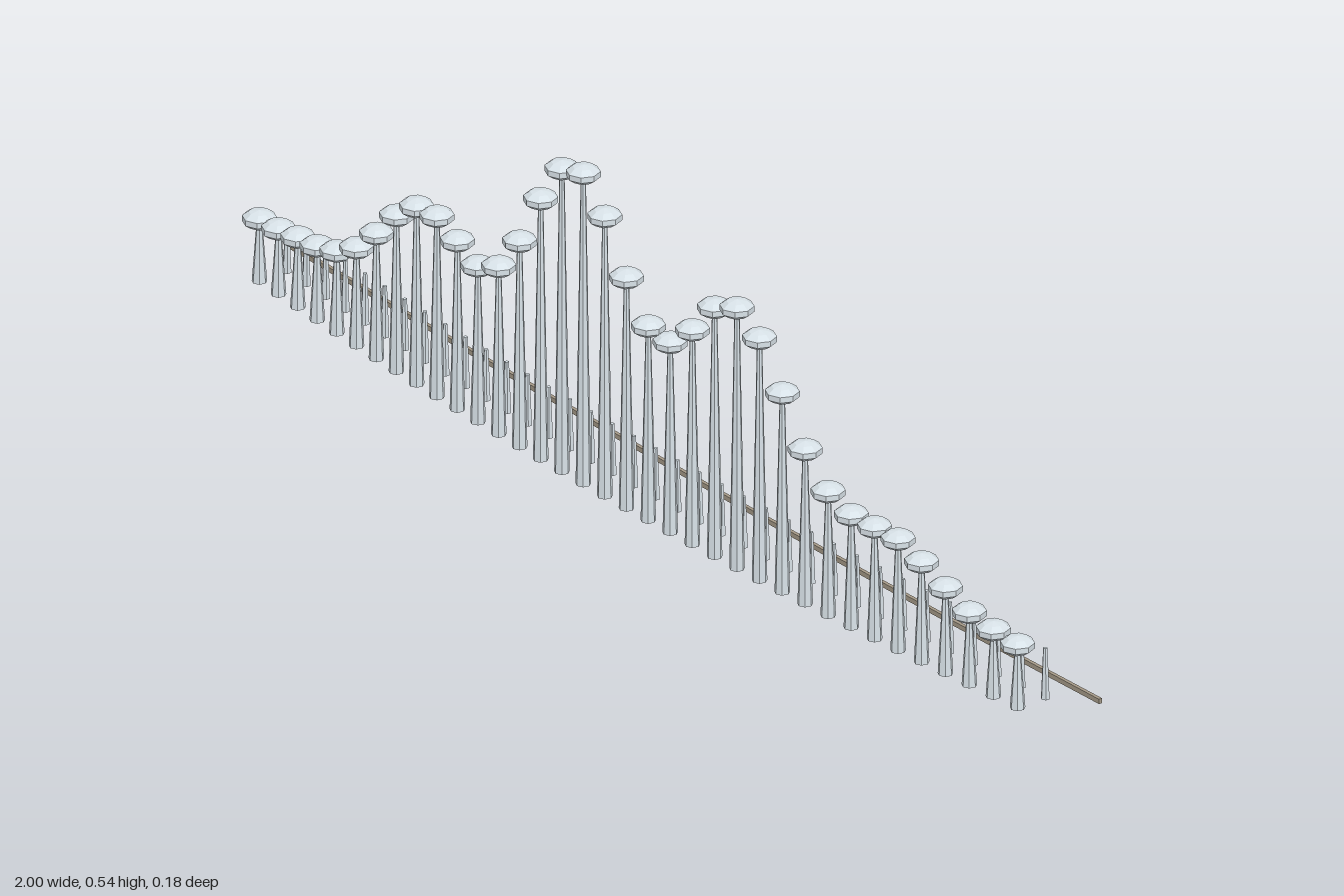
import * as THREE from 'three';

// Height of each tall jet, from the model's right (-x) to its left (+x)
const HEIGHTS = [
  0.105, 0.11, 0.118, 0.125, 0.138, 0.165, 0.21, 0.262, 0.298, 0.303, 0.283, 0.262,
  0.282, 0.345, 0.437, 0.508, 0.521, 0.469, 0.387, 0.326, 0.319, 0.36, 0.418, 0.437,
  0.406, 0.334, 0.259, 0.208, 0.189, 0.188, 0.187, 0.168, 0.144, 0.122, 0.112, 0.106,
];
const SPAN = 0.935;

export function createModel() {
  const water = new THREE.MeshStandardMaterial({ color: 0xdbe5eb, flatShading: true });
  water.name = 'pale water';
  const stone = new THREE.MeshStandardMaterial({ color: 0xa59a88, flatShading: true });
  stone.name = 'warm grey stone';

  const model = new THREE.Group();
  model.name = 'fountainRow';
  const addGroup = (name) => {
    const group = new THREE.Group();
    group.name = name;
    model.add(group);
    return group;
  };
  const add = (parent, name, geometry, material, x, y, z) => {
    const mesh = new THREE.Mesh(geometry, material);
    mesh.name = name;
    mesh.position.set(x, y, z);
    parent.add(mesh);
  };

  // Tall tapering jets with flattened crowns, and a short jet behind each;
  // both rows bend backwards towards their ends
  const tallJets = addGroup('tallJets');
  const shortJets = addGroup('shortJets');
  const crown = new THREE.SphereGeometry(0.028, 8, 5).scale(1, 0.53, 1);
  const shortJet = new THREE.CylinderGeometry(0.0035, 0.007, 0.085, 6);
  HEIGHTS.forEach((h, i) => {
    const x = -SPAN + (2 * SPAN * i) / (HEIGHTS.length - 1);
    const z = 0.064 - 0.05 * x * x;
    add(tallJets, 'jetColumn', new THREE.CylinderGeometry(0.004, 0.012, h, 7), water, x, h / 2, z);
    add(tallJets, 'jetCrown', crown, water, x, h, z);
    add(shortJets, 'shortJet', shortJet, water, x, 0.0425, 0.0085 - 0.047 * x * x);
  });

  // Low curved kerb at the back: a thin bowed strip, extruded upwards
  const steps = 12;
  const edge = (i, offset) => {
    const x = -1 + (2 * i) / steps;
    return new THREE.Vector2(x, 0.0742 + 0.0135 * x * x + offset);
  };
  const outline = [];
  for (let i = 0; i <= steps; i++) outline.push(edge(i, -0.003));
  for (let i = steps; i >= 0; i--) outline.push(edge(i, 0.003));
  const kerb = new THREE.ExtrudeGeometry(new THREE.Shape(outline), { depth: 0.008, bevelEnabled: false });
  kerb.rotateX(-Math.PI / 2);
  add(model, 'backKerb', kerb, stone, 0, 0, 0);

  return model;
}
